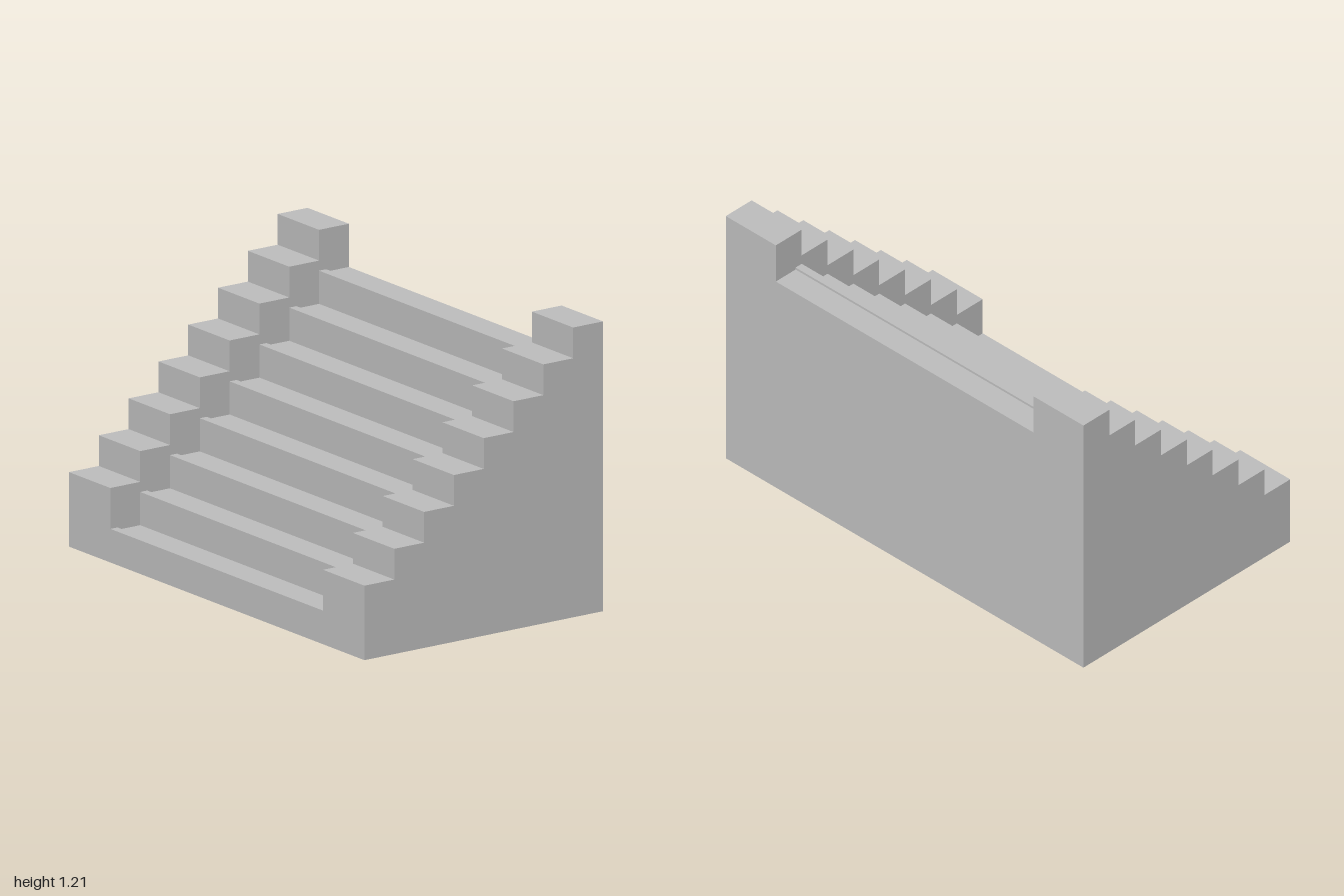
import * as THREE from 'three';

const STEPS = 8, RISE = 0.128, DEPTH = 1.18 / STEPS;
const FRONT = 0.59, INNER = 0.72, OUTER = 1;
const LIP_DEPTH = 0.035, LIP_HEIGHT = 0.01;

const grey = new THREE.MeshStandardMaterial({ color: 0xbfbfbf, side: THREE.DoubleSide });
grey.name = 'light grey stone';

// Box given by its limits, left open underneath
function openBox(name, x0, x1, y0, y1, z0, z1) {
  const geometry = new THREE.BoxGeometry(x1 - x0, y1 - y0, z1 - z0);
  const index = Array.from(geometry.index.array);
  index.splice(18, 6); // drop the bottom face
  geometry.setIndex(index);
  geometry.clearGroups();
  geometry.translate((x0 + x1) / 2, (y0 + y1) / 2, (z0 + z1) / 2);
  const mesh = new THREE.Mesh(geometry, grey);
  mesh.name = name;
  return mesh;
}

export function createModel() {
  const model = new THREE.Group();
  model.name = 'staircase';
  const flight = new THREE.Group();
  flight.name = 'centralFlight';
  const leftWall = new THREE.Group();
  leftWall.name = 'leftSteppedWall';
  const rightWall = new THREE.Group();
  rightWall.name = 'rightSteppedWall';

  for (let i = 0; i < STEPS; i++) {
    const zFront = FRONT - i * DEPTH, zBack = zFront - DEPTH;
    const stepTop = 0.14 + i * RISE, wallTop = 0.31 + i * RISE;
    const treadTop = stepTop - LIP_HEIGHT;

    // tread column and the raised nosing along its front edge
    flight.add(openBox('step', -INNER, INNER, 0, treadTop, zBack, zFront));
    flight.add(openBox('nosing', -INNER, INNER, treadTop, stepTop, zFront - LIP_DEPTH, zFront));

    // matching blocks of the side walls
    leftWall.add(openBox('wallBlock', INNER, OUTER, 0, wallTop, zBack, zFront));
    rightWall.add(openBox('wallBlock', -OUTER, -INNER, 0, wallTop, zBack, zFront));
  }

  model.add(flight, leftWall, rightWall);
  return model;
}
